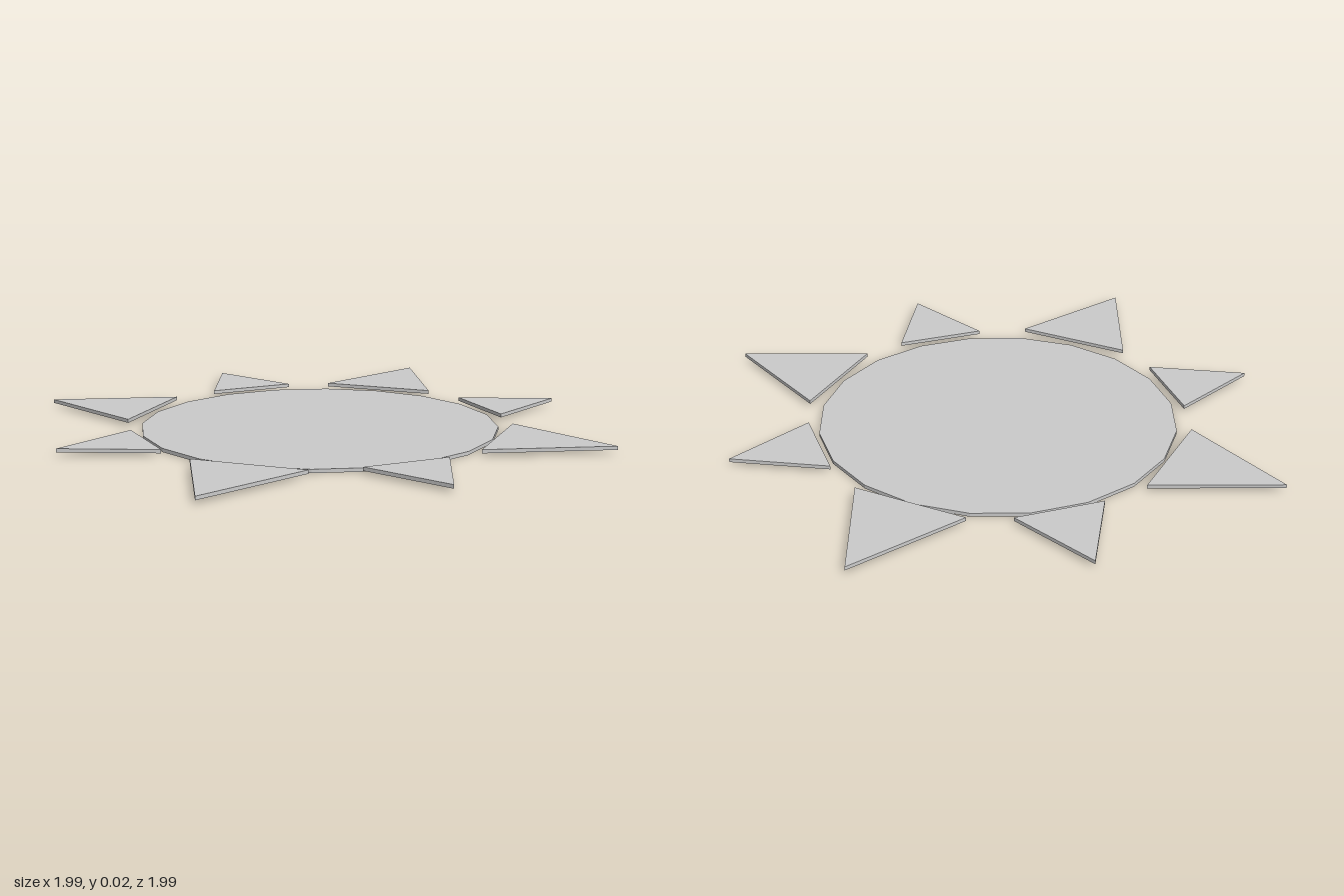
import * as THREE from 'three';

const THICKNESS = 0.012;

// Flat triangular ray: tip at the origin, pointing along +x, extruded upwards
function rayGeometry(length, halfWidth) {
  const shape = new THREE.Shape([
    new THREE.Vector2(0, 0),
    new THREE.Vector2(-length, halfWidth),
    new THREE.Vector2(-length, -halfWidth),
  ]);
  return new THREE.ExtrudeGeometry(shape, { depth: THICKNESS, bevelEnabled: false }).rotateX(-Math.PI / 2);
}

export function createModel() {
  const model = new THREE.Group();
  model.name = 'sun';
  const material = new THREE.MeshStandardMaterial({ color: 0xcccccc, flatShading: true });

  // Twenty-sided central disc
  const disc = new THREE.Mesh(new THREE.CylinderGeometry(0.592, 0.592, THICKNESS, 20), material);
  disc.name = 'disc';
  disc.position.set(-0.001, THICKNESS / 2, -0.006);
  model.add(disc);

  // Ray tips (x, z), anticlockwise from +x; long and short rays alternate
  const tips = [
    [0.995, -0.006], [0.638, -0.638], [0, -0.998], [-0.633, -0.651],
    [-0.998, -0.006], [-0.636, 0.636], [0, 0.996], [0.644, 0.623],
  ];
  const longRay = rayGeometry(0.387, 0.193);
  const shortRay = rayGeometry(0.293, 0.147);
  tips.forEach(([x, z], i) => {
    const ray = new THREE.Mesh(i % 2 ? shortRay : longRay, material);
    ray.name = i % 2 ? 'shortRay' : 'longRay';
    ray.position.set(x, THICKNESS, z);
    ray.rotation.y = (i * Math.PI) / 4;
    model.add(ray);
  });

  return model;
}
